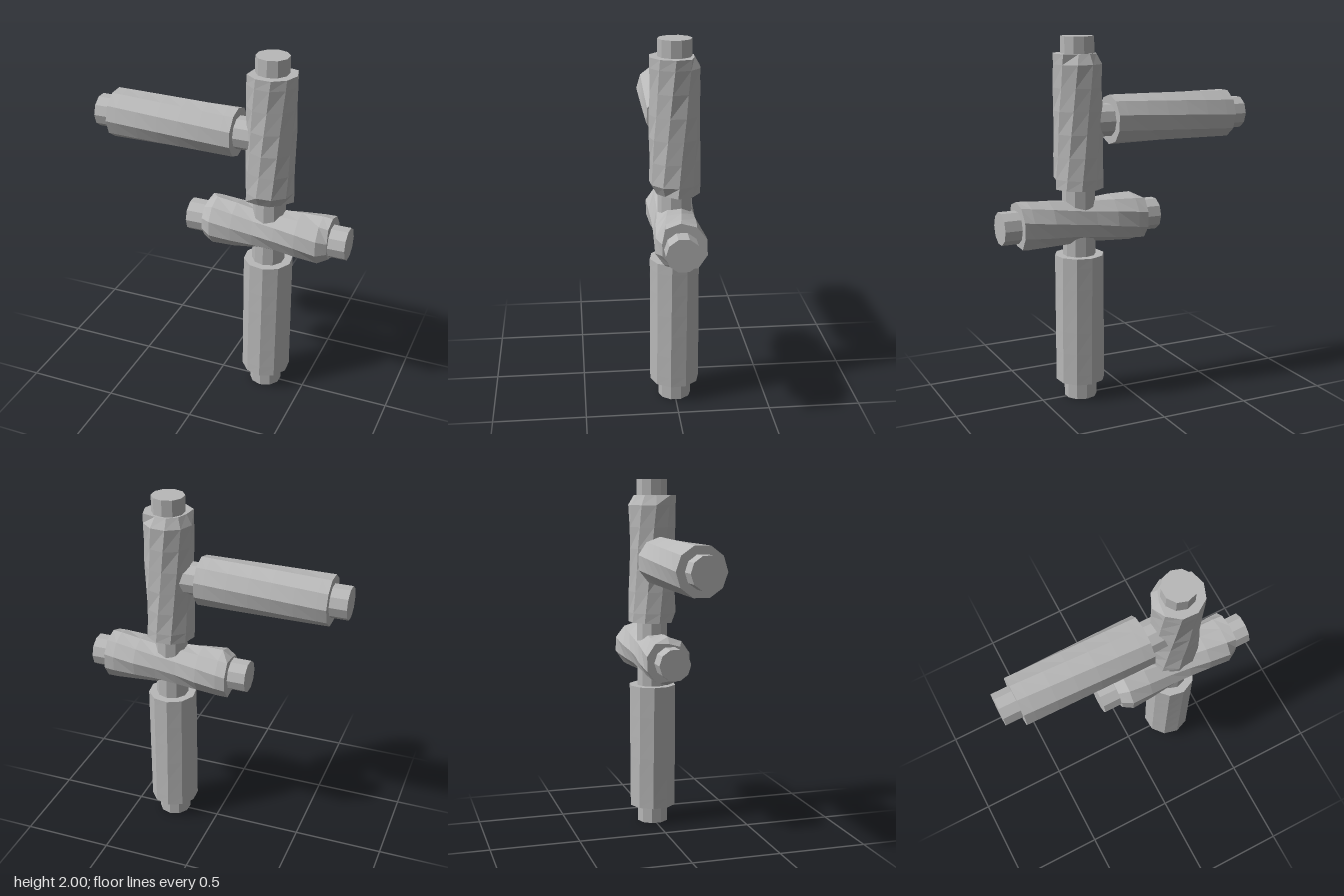
import * as THREE from 'three';

const wood = new THREE.MeshStandardMaterial({ color: 0xb8b8b8, flatShading: true });
const SIDES = 10, RINGS = 7, CHAMFER = 0.055;

// Faceted bark sleeve along y: twisted, waisted, with part of each rim cut back.
// start / end: { dir: [x, z], limit } choose which side of the rim is cut.
function barkGeometry(length, { twist = 0, phase = 0, waist = 0, wobble = 0, start, end } = {}) {
  const geo = new THREE.CylinderGeometry(1, 1, 1, SIDES, RINGS);
  const p = geo.attributes.position;
  for (let i = 0; i < p.count; i++) {
    const ring = Math.round((p.getY(i) + 0.5) * RINGS);
    let y = CHAMFER + (ring - 1) / (RINGS - 2) * (length - 2 * CHAMFER);
    if (ring === 0) y = 0;
    if (ring === RINGS) y = length;
    const t = y / length;
    const a = Math.atan2(p.getX(i), p.getZ(i)) + phase + twist * (t - 0.5);
    const x = Math.sin(a), z = Math.cos(a);
    let r = 0.136 * (1 - waist * Math.sin(Math.PI * t) ** 4);
    if (ring > 1 && ring < RINGS - 1) r *= 1 - wobble * (0.5 + 0.5 * Math.sin(3 * a + 9 * t));
    const cut = ring === 0 ? start : ring === RINGS ? end : null;
    if (cut && x * cut.dir[0] + z * cut.dir[1] > cut.limit) r *= 0.76;
    if (Math.hypot(p.getX(i), p.getZ(i)) < 0.01) r = 0;
    p.setXYZ(i, r * x, y, r * z);
  }
  geo.computeVertexNormals();
  return geo;
}

function mesh(name, geo, y) {
  const m = new THREE.Mesh(geo, wood);
  m.name = name;
  m.position.y = y;
  return m;
}

// Bare inner wood, showing at the ends of the sleeves
function core(name, from, to) {
  return mesh(name, new THREE.CylinderGeometry(0.09, 0.09, to - from, SIDES), (from + to) / 2);
}

export function createModel() {
  const model = new THREE.Group();
  model.name = 'branchingLogs';

  // Upright trunk with two bark sleeves
  const trunk = new THREE.Group();
  trunk.name = 'trunk';
  trunk.position.x = 0.27;
  trunk.add(
    core('trunkCore', 0, 2),
    mesh('lowerTrunkBark', barkGeometry(0.72, { twist: 0.06, phase: 0.1 }), 0.1),
    mesh('upperTrunkBark', barkGeometry(0.72, {
      twist: 0.55, wobble: 0.04,
      start: { dir: [0.3, 0.95], limit: 0.4 },
      end: { dir: [-0.7, -0.7], limit: 0.2 },
    }), 1.19),
  );

  // Crossing log through the middle
  const cross = new THREE.Group();
  cross.name = 'crossLog';
  cross.position.y = 1.005;
  cross.rotation.z = -Math.PI / 2;
  cross.add(
    core('crossCore', -0.19, 0.725),
    mesh('crossBark', barkGeometry(0.72, {
      twist: 0.7, waist: 0.12, wobble: 0.04,
      start: { dir: [0, 1], limit: -0.35 },
      end: { dir: [0.7, 0.7], limit: 0.25 },
    }), -0.09),
  );

  // Side branch joining the upper trunk
  const branch = new THREE.Group();
  branch.name = 'sideBranch';
  branch.position.y = 1.548;
  branch.rotation.z = -Math.PI / 2;
  branch.add(
    core('branchCore', -0.73, 0.2),
    mesh('branchBark', barkGeometry(0.72, { twist: 0.25, phase: 0.15 }), -0.635),
  );

  model.add(trunk, cross, branch);
  return model;
}
